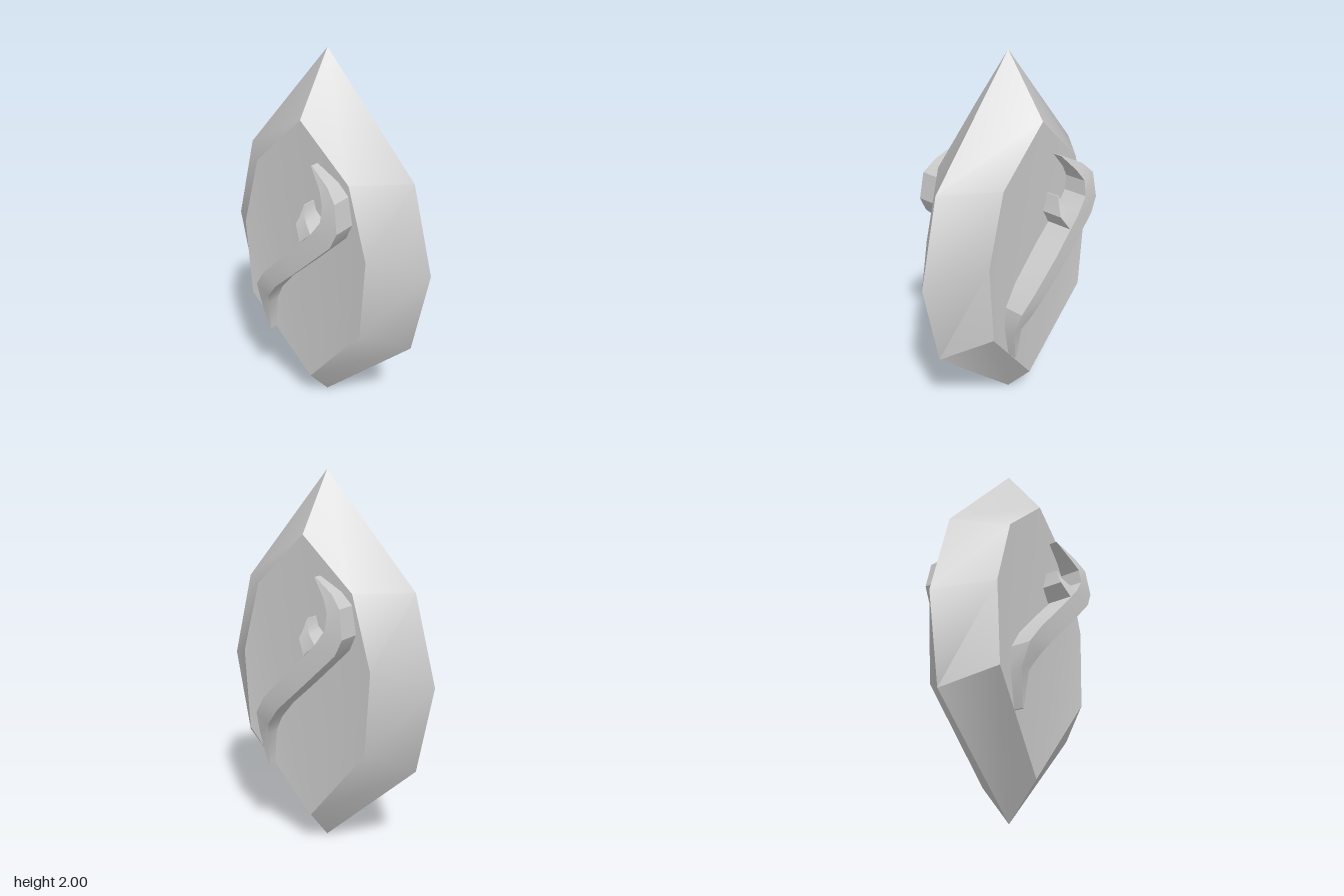
import * as THREE from 'three';
import { toCreasedNormals } from 'three/addons/utils/BufferGeometryUtils.js';

const material = new THREE.MeshStandardMaterial({ color: 0xcccccc });

function makeMesh(name, points, faces) {
  const geometry = new THREE.BufferGeometry();
  geometry.setAttribute('position', new THREE.Float32BufferAttribute(points.flat(), 3));
  geometry.setIndex(faces.flat());
  const mesh = new THREE.Mesh(toCreasedNormals(geometry, 0.52), material);
  mesh.name = name;
  return mesh;
}

// Half of the cut stone: bevels from the girdle to the table, and the table itself
function gemHalf() {
  const mirrorLoop = half => [
    ...half,
    ...half.slice(1, -1).reverse().map(([x, y, z]) => [-x, y, z]),
  ];
  const girdle = mirrorLoop([[0, 2, 0], [0.505, 1.435, 0], [0.625, 0.98, 0], [0.54, 0.52, 0], [0, 0, 0]]);
  const table = mirrorLoop([[0, 1.7, 0.213], [0.28, 1.44, 0.213], [0.385, 1.07, 0.213], [0.36, 0.64, 0.213], [0, 0.19, 0.16]]);
  const n = girdle.length;
  const faces = [];
  for (let i = 0; i < n; i++) {
    const j = (i + 1) % n;
    faces.push([i, n + i, n + j], [i, n + j, j]);
    // table fans out from its lowest corner
    if (i !== 4 && j !== 4) faces.push([n + 4, n + j, n + i]);
  }
  return makeMesh('gemHalf', [...girdle, ...table], faces);
}

// Raised ribbon: each station is [leftX, leftY, rightX, rightY, frontZ], top to bottom
function ribbon(name, stations) {
  const base = 0.15;
  const points = [];
  const faces = [];
  stations.forEach(([lx, ly, rx, ry, z], i) => {
    points.push([lx, ly, base], [lx, ly, z], [rx, ry, z], [rx, ry, base]);
    if (i === 0) return;
    for (let k = 0; k < 3; k++) {
      const a = (i - 1) * 4 + k;
      const b = i * 4 + k;
      faces.push([a, b, a + 1], [b, b + 1, a + 1]);
    }
  });
  // end caps
  const e = points.length - 4;
  faces.push([0, 1, 2], [0, 2, 3], [e, e + 3, e + 2], [e, e + 2, e + 1]);
  return makeMesh(name, points, faces);
}

function createSide(name) {
  const side = new THREE.Group();
  side.name = name;
  side.add(
    gemHalf(),
    ribbon('curvedRibbon', [
      [0.095, 1.51, 0.102, 1.51, 0.255],
      [0.175, 1.42, 0.22, 1.445, 0.295],
      [0.21, 1.36, 0.28, 1.385, 0.322],
      [0.207, 1.28, 0.302, 1.245, 0.335],
      [0.15, 1.2, 0.265, 1.165, 0.337],
      [-0.02, 1.03, 0.08, 0.985, 0.337],
      [-0.175, 0.875, -0.09, 0.825, 0.325],
      [-0.245, 0.775, -0.165, 0.73, 0.3],
      [-0.256, 0.65, -0.2, 0.65, 0.262],
      [-0.222, 0.465, -0.213, 0.465, 0.24],
    ]),
    ribbon('smallHook', [
      [0.063, 1.31, 0.069, 1.31, 0.27],
      [0.05, 1.25, 0.08, 1.262, 0.29],
      [0.04, 1.215, 0.102, 1.238, 0.308],
      [0.085, 1.14, 0.15, 1.2, 0.336],
    ]),
  );
  return side;
}

export function createModel() {
  const model = new THREE.Group();
  model.name = 'carvedGem';
  const front = createSide('frontSide');
  const back = createSide('backSide');
  back.rotation.y = Math.PI;
  model.add(front, back);
  return model;
}
